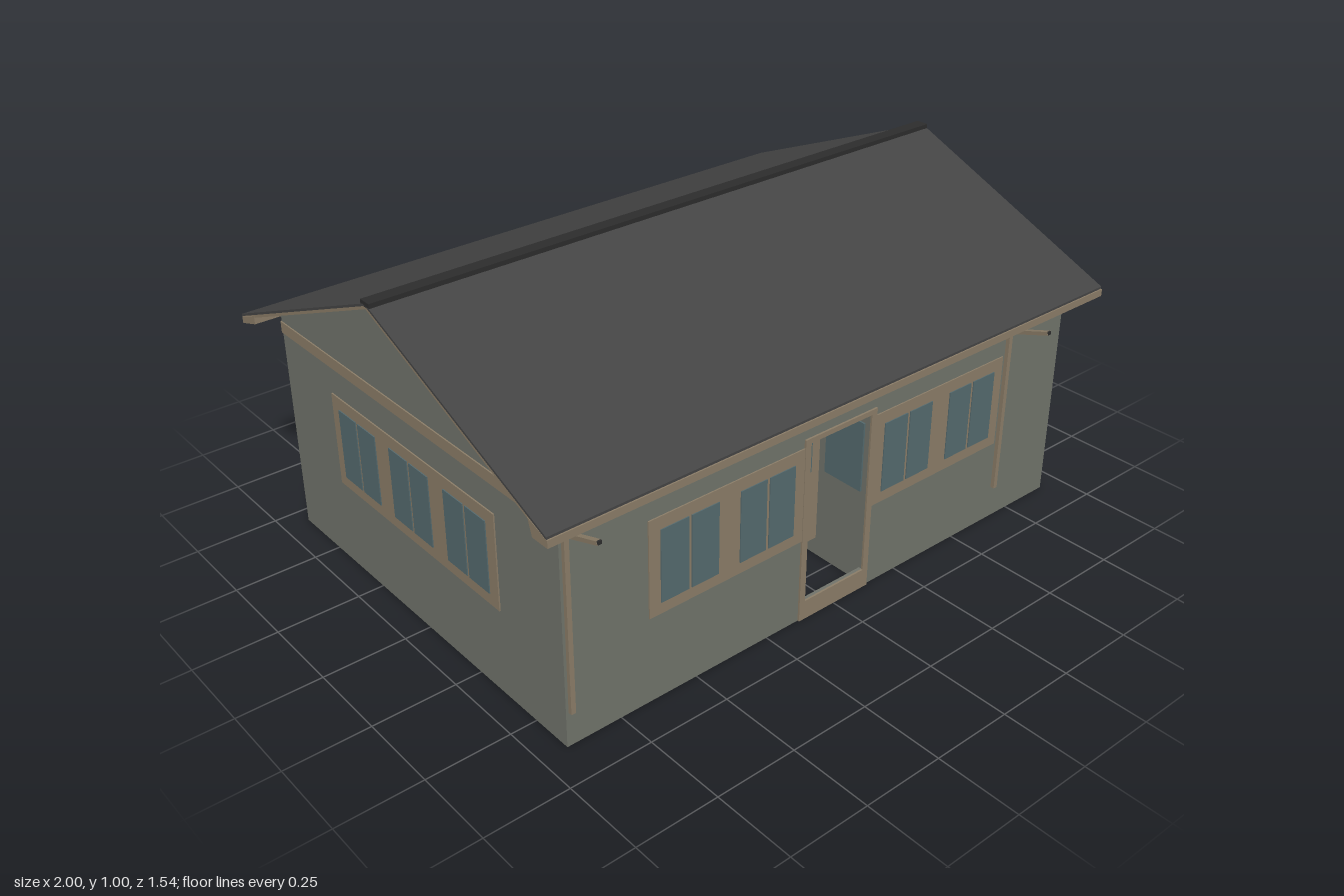
import * as THREE from 'three';

const mat = (name, color) => {
  const m = new THREE.MeshStandardMaterial({ color });
  m.name = name;
  return m;
};

export function createModel() {
  const wall = mat('wall grey', 0x70736a);
  const trim = mat('trim tan', 0x8a7c67);
  const glass = mat('window glass', 0x54696d);
  const roof = mat('roof dark grey', 0x444444);
  const dark = mat('ridge black', 0x2c2c2c);

  const house = new THREE.Group();
  house.name = 'house';
  const X = 0.92, ZF = 0.63, ZB = -0.69, RZ = -0.03, M = 0.263;
  const slope = 0.415;

  const add = (name, geo, m, parent = house) => {
    const mesh = new THREE.Mesh(geo, m);
    mesh.name = name;
    parent.add(mesh);
    return mesh;
  };
  // box given by its limits
  const box = (name, m, x0, x1, y0, y1, z0, z1, parent) => {
    const g = new THREE.BoxGeometry(x1 - x0, y1 - y0, z1 - z0);
    g.translate((x0 + x1) / 2, (y0 + y1) / 2, (z0 + z1) / 2);
    return add(name, g, m, parent);
  };
  // (z, y) outline extruded along x
  const prism = (name, m, pts, x0, x1) => {
    const s = new THREE.Shape(pts.map(([z, y]) => new THREE.Vector2(-z, y)));
    const g = new THREE.ExtrudeGeometry(s, { depth: x1 - x0, bevelEnabled: false });
    g.rotateY(Math.PI / 2);
    g.translate(x0, 0, 0);
    return add(name, g, m);
  };

  // front wall with the doorway cut out
  const front = new THREE.Shape([[-X, 0], [X, 0], [X, 0.7], [-X, 0.7]].map(p => new THREE.Vector2(...p)));
  front.holes.push(new THREE.Path([[-0.115, 0.06], [-0.115, 0.565], [0.115, 0.565], [0.115, 0.06]]
    .map(p => new THREE.Vector2(...p))));
  const frontGeo = new THREE.ExtrudeGeometry(front, { depth: 0.01, bevelEnabled: false });
  frontGeo.translate(0, 0, ZF - 0.01);
  add('frontWall', frontGeo, wall);
  box('backWall', wall, -X, X, 0, 0.7, ZB, ZB + 0.01);

  // gable walls
  const under = z => 0.985 - slope * Math.abs(z - RZ);
  const gable = [[ZF, 0], [ZF, under(ZF)], [RZ, under(RZ)], [ZB, under(ZB)], [ZB, 0]];
  prism('leftGableWall', wall, gable, X - 0.01, X);
  prism('rightGableWall', wall, gable, -X, -X + 0.01);

  // inner walls, floor and the fins between inner and outer walls
  const ix = 2.5 * M, izF = ZF - M, izB = ZB + M;
  box('floor', trim, -ix, ix, 0, 0.03, izB, izF);
  box('innerFrontWall', trim, -ix, ix, 0, 0.64, izF - 0.01, izF);
  box('innerBackWall', trim, -ix, ix, 0, 0.64, izB, izB + 0.01);
  for (const s of [-1, 1]) box('innerSideWall', trim, s * ix - 0.005, s * ix + 0.005, 0, 0.64, izB, izF);
  for (let i = 0; i < 6; i++) {
    const x = (i - 2.5) * M;
    box('frontFin', wall, x - 0.004, x + 0.004, 0, 0.64, izF, ZF - 0.01);
    box('backFin', wall, x - 0.004, x + 0.004, 0, 0.64, ZB + 0.01, izB);
  }
  for (let i = 1; i < 5; i++) {
    const z = ZB + i * M;
    for (const s of [-1, 1]) {
      const a = s * ix, b = s * (X - 0.01);
      box('sideFin', wall, Math.min(a, b), Math.max(a, b), 0, 0.64, z - 0.004, z + 0.004);
    }
  }

  // window strip facing +z in its own group: tan panel with paired panes
  const windowStrip = (name, centres, half) => {
    const g = new THREE.Group();
    g.name = name;
    house.add(g);
    for (const [a, b] of half) box('windowTrim', trim, a, b, 0.265, 0.555, 0, 0.004, g);
    for (const c of centres)
      for (const s of [-1, 1]) {
        const p = c + s * 0.05;
        box('windowPane', glass, p - 0.045, p + 0.045, 0.3, 0.518, 0.002, 0.007, g);
      }
    return g;
  };
  const five = [-2, -1, 0, 1, 2].map(i => i * M), three = [-M, 0, M];
  windowStrip('frontWindows', five.filter(c => c !== 0), [[-0.657, -0.13], [0.13, 0.657]]).position.z = ZF;
  const back = windowStrip('backWindows', five, [[-0.657, 0.657]]);
  back.position.z = ZB;
  back.rotation.y = Math.PI;
  for (const s of [-1, 1]) {
    const g = windowStrip(s > 0 ? 'leftWindows' : 'rightWindows', three, [[-0.395, 0.395]]);
    g.position.set(s * X, 0, RZ);
    g.rotation.y = s * Math.PI / 2;
  }

  // door frame, threshold and recessed door
  for (const s of [-1, 1]) box('doorJamb', trim, s * 0.123 - 0.01, s * 0.123 + 0.01, 0, 0.58, ZF, ZF + 0.006);
  box('doorLintel', trim, -0.115, 0.115, 0.565, 0.58, ZF, ZF + 0.006);
  box('doorThreshold', trim, -0.115, 0.115, 0, 0.06, ZF, ZF + 0.006);
  box('door', trim, -0.125, 0.125, 0.06, 0.565, 0.425, 0.435);
  for (const s of [-1, 1]) {
    box('doorPane', glass, s * 0.05 - 0.042, s * 0.05 + 0.042, 0.3, 0.518, 0.434, 0.439);
    box('porchSidePane', glass, s * 0.125 - 0.003, s * 0.125 + 0.003, 0.3, 0.518, 0.46, 0.6);
  }

  // trim band below the eaves
  box('frontBand', trim, -X, X, 0.64, 0.675, ZF, ZF + 0.004);
  box('backBand', trim, -X, X, 0.64, 0.675, ZB - 0.004, ZB);
  for (const s of [-1, 1]) box('sideBand', trim, s * X - 0.004, s * X + 0.004, 0.64, 0.675, ZB, ZF);

  // roof slabs, tan lining and boxed eaves
  const top = (z, d = 0) => 1 - d - slope * Math.abs(z - RZ);
  const EF = 0.7, EB = -0.77;
  const chevron = (a, b) => [[EF, top(EF, b)], [EF, top(EF, a)], [RZ, top(RZ, a)], [EB, top(EB, a)],
    [EB, top(EB, b)], [RZ, top(RZ, b)]];
  prism('roofCovering', roof, chevron(0, 0.007), -1, 1);
  prism('roofLining', trim, chevron(0.007, 0.016), -0.999, 0.999);
  prism('frontEave', trim, [[ZF, 0.715], [EF, 0.69], [EF + 0.004, 0.69], [EF + 0.004, 0.668], [0.645, 0.668]], -1, 1);
  prism('backEave', trim, [[ZB, 0.715], [EB, 0.685], [EB, 0.664], [ZB, 0.69]], -1, 1);
  prism('ridgeCap', dark, [[RZ - 0.02, 0.99], [RZ + 0.02, 0.99], [RZ + 0.02, 1.005], [RZ - 0.02, 1.005]], -1, 1);

  // slim posts with raised arms on the front
  for (const x of [-0.905, 0.675]) {
    box('frontPost', trim, x - 0.007, x + 0.007, 0.105, 0.64, ZF, ZF + 0.012);
    prism('frontArm', trim, [[0.64, 0.627], [0.77, 0.672], [0.766, 0.682], [0.636, 0.638]], x - 0.007, x + 0.007);
    box('armCap', dark, x - 0.006, x + 0.006, 0.672, 0.682, 0.765, 0.77);
  }
  return house;
}
